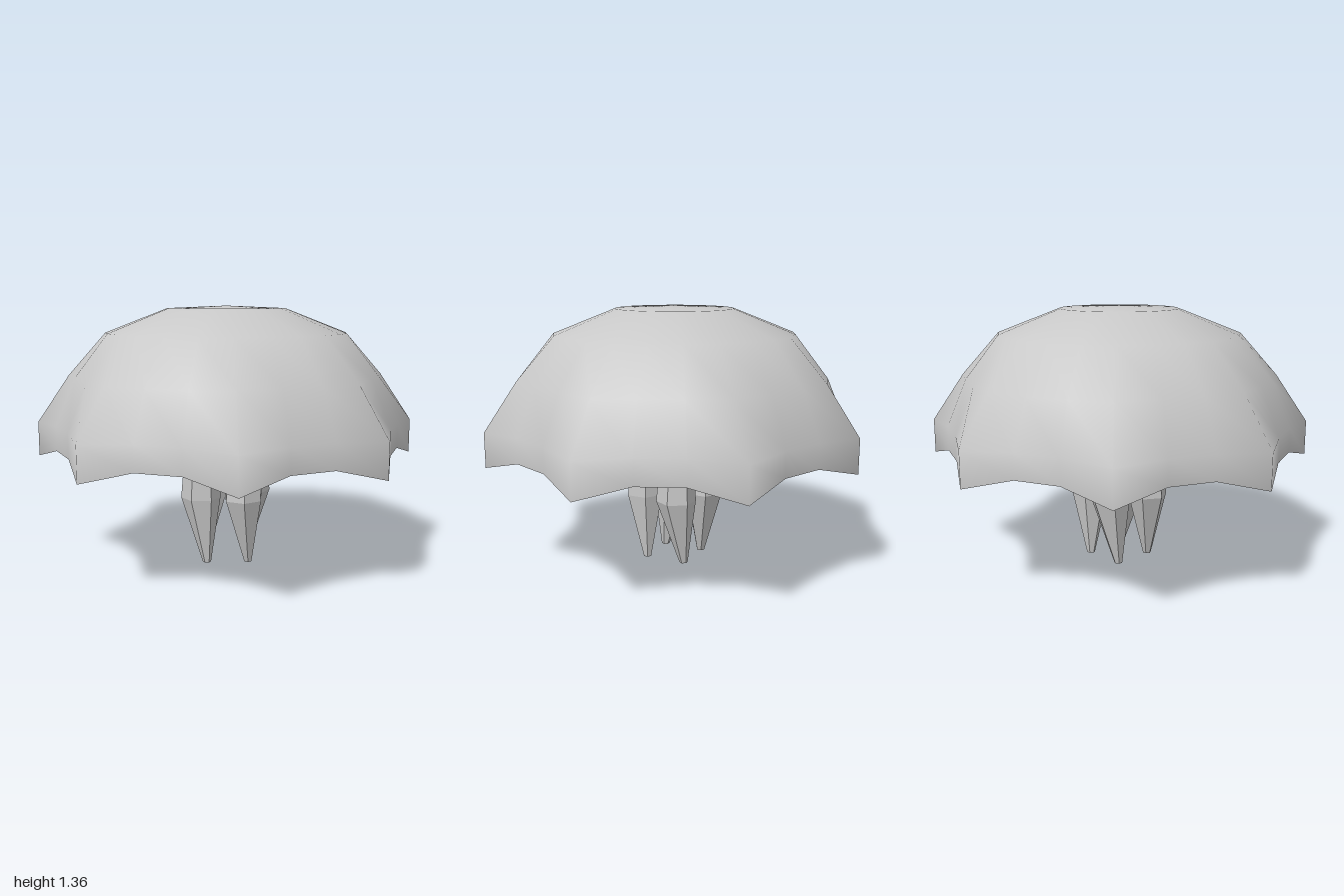
import * as THREE from 'three';

const SIDES = 24; // three segments per scallop, eight scallops

// Rings of the bell: radius and height at the ridges, then between them
const RINGS = [
  [0.31, 1.347, 0.31, 1.347],
  [0.635, 1.22, 0.63, 1.22],
  [0.83, 1.0, 0.8, 1.0],
  [1.0, 0.75, 0.9, 0.76],
  [1.0, 0.57, 0.9, 0.635],
];

// Open, smooth bell with pointed scallops round the rim
function bellGeometry() {
  const pos = [0, 1.36, 0];
  const index = [];
  for (const [ridgeR, ridgeY, valleyR, valleyY] of RINGS) {
    for (let i = 0; i < SIDES; i++) {
      const a = (i / SIDES) * Math.PI * 2;
      const ridge = i % 3 === 0;
      const r = ridge ? ridgeR : valleyR;
      pos.push(Math.sin(a) * r, ridge ? ridgeY : valleyY, Math.cos(a) * r);
    }
  }
  for (let i = 0; i < SIDES; i++) {
    const j = (i + 1) % SIDES;
    index.push(0, 1 + i, 1 + j);
    for (let k = 0; k < RINGS.length - 1; k++) {
      const a = 1 + k * SIDES, b = a + SIDES;
      index.push(a + i, b + i, b + j, a + i, b + j, a + j);
    }
  }
  const g = new THREE.BufferGeometry();
  g.setAttribute('position', new THREE.Float32BufferAttribute(pos, 3));
  g.setIndex(index);
  g.computeVertexNormals();
  return g;
}

// Faceted six-sided arm, bulging in the middle and narrow at the tip
function tentacleGeometry() {
  const levels = [ // y, radius, centre x, centre z
    [0.71, 0.08, 0.085, 0.135],
    [0.35, 0.105, 0.08, 0.14],
    [0, 0.022, 0.11, 0.11],
  ];
  const g = new THREE.CylinderGeometry(1, 1, 2, 6, 2);
  const p = g.attributes.position;
  for (let i = 0; i < p.count; i++) {
    const [y, r, cx, cz] = levels[1 - Math.round(p.getY(i))];
    p.setXYZ(i, cx + p.getX(i) * r, y, cz + p.getZ(i) * r);
  }
  const flat = g.toNonIndexed();
  flat.computeVertexNormals();
  return flat;
}

export function createModel() {
  const model = new THREE.Group();
  model.name = 'jellyfish';
  const grey = new THREE.MeshStandardMaterial({ color: 0xc8c8c8, side: THREE.DoubleSide });
  grey.name = 'lightGrey';

  const bell = new THREE.Mesh(bellGeometry(), grey);
  bell.name = 'bell';
  model.add(bell);

  // Four arms turned about the centre
  const arm = tentacleGeometry();
  for (let i = 0; i < 4; i++) {
    const tentacle = new THREE.Mesh(arm, grey);
    tentacle.name = 'tentacle' + (i + 1);
    tentacle.rotation.y = (i * Math.PI) / 2;
    model.add(tentacle);
  }
  return model;
}
